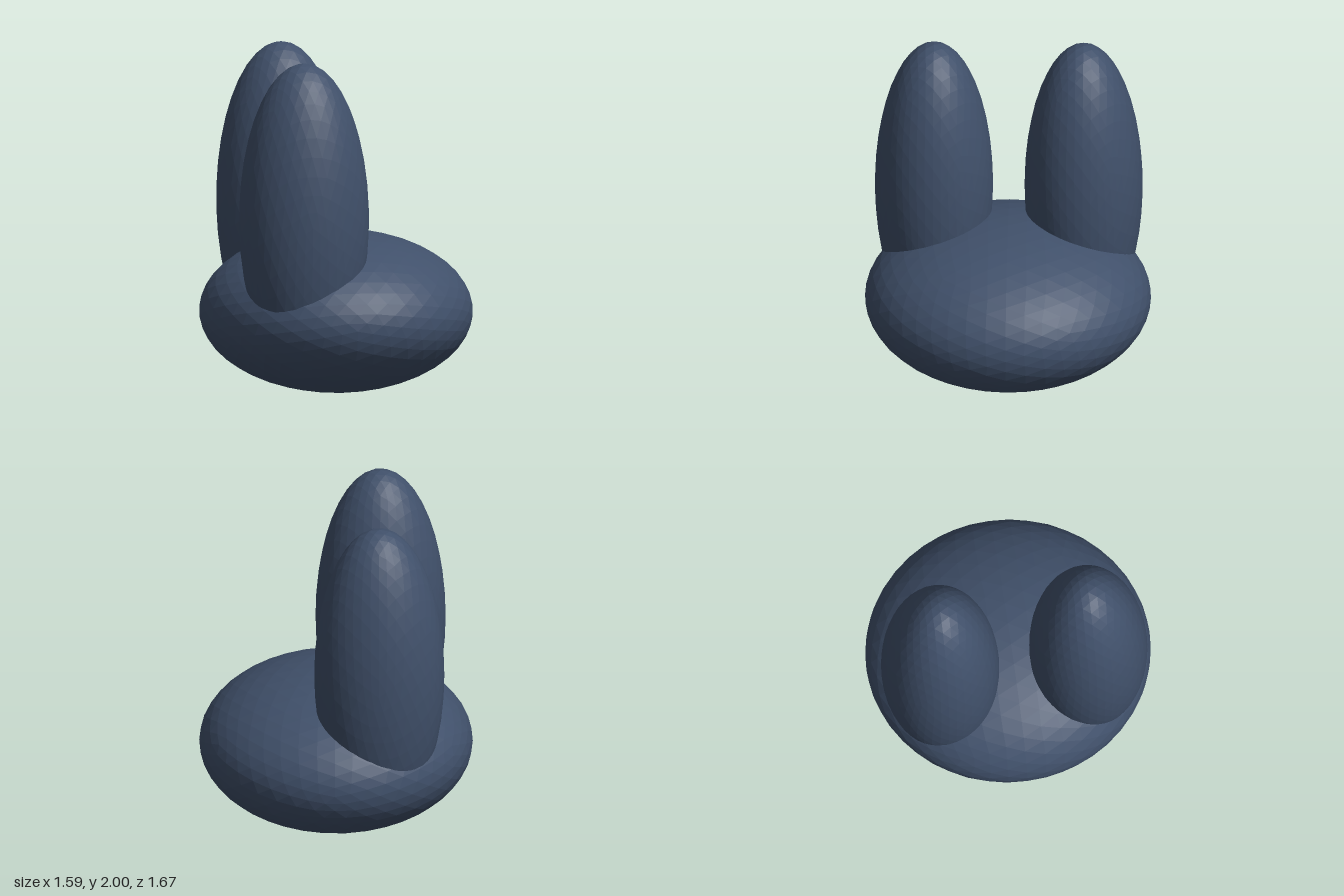
import * as THREE from 'three';

export function createModel() {
  const group = new THREE.Group();
  const slateBlue = new THREE.MeshStandardMaterial({ color: 0x40506a, flatShading: true });

  // Faceted ellipsoid from a subdivided icosahedron
  function ellipsoid(name, [rx, ry, rz], [x, y, z]) {
    const geometry = new THREE.IcosahedronGeometry(1, 7);
    geometry.rotateX(Math.atan(2 / (1 + Math.sqrt(5)))); // puts a vertex at each pole
    geometry.scale(rx, ry, rz);
    geometry.computeVertexNormals();
    const mesh = new THREE.Mesh(geometry, slateBlue);
    mesh.name = name;
    mesh.position.set(x, y, z);
    group.add(mesh);
  }

  // Wide flattened base
  ellipsoid('body', [0.797, 0.47, 0.833], [0, 0.473, 0]);

  // Pair of tall upright lobes, mirrored front to back
  for (const side of [1, -1]) {
    ellipsoid(side > 0 ? 'frontLobe' : 'backLobe', [0.379, 0.92, 0.344], [-0.256, 1.08, side * 0.436]);
  }

  return group;
}
